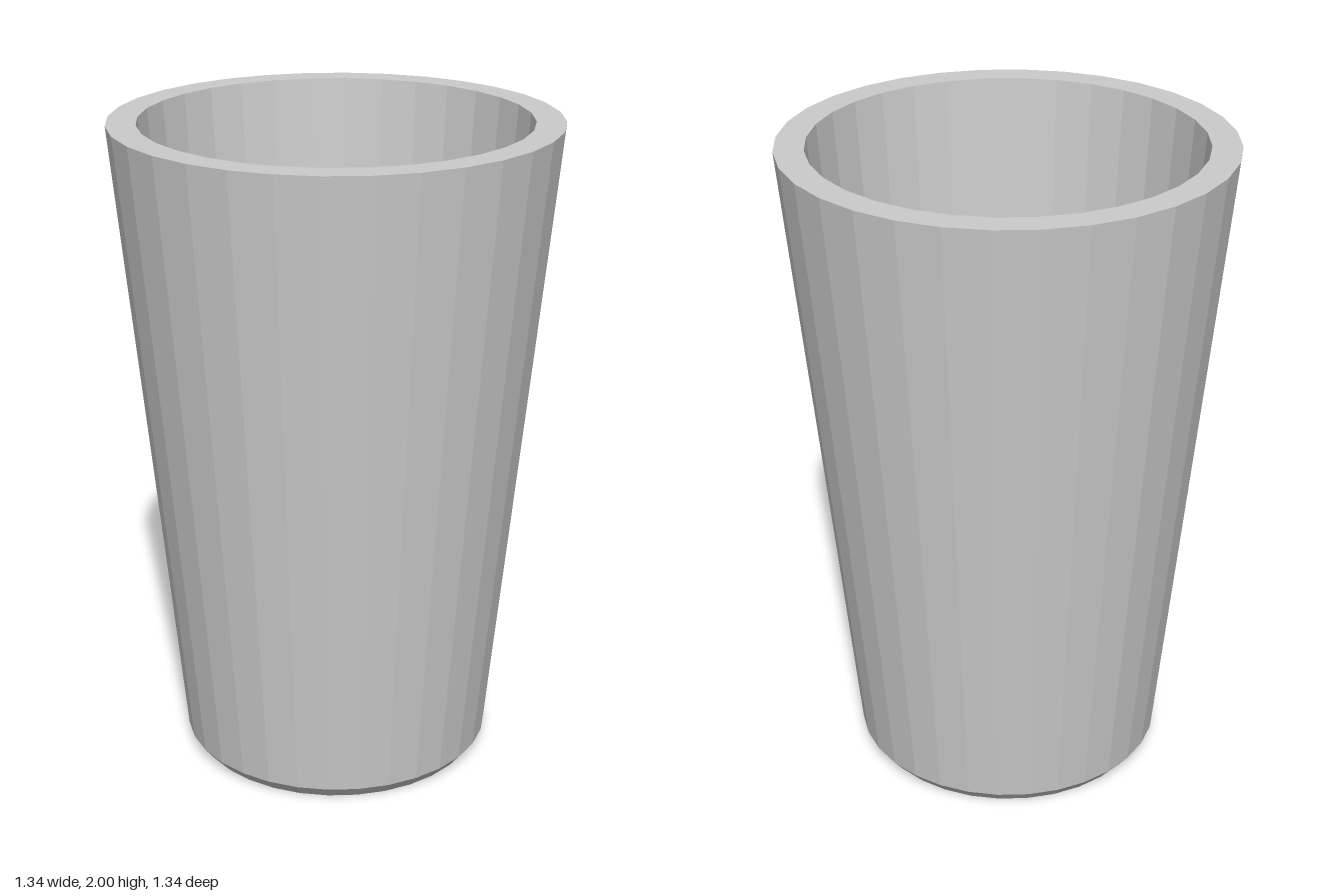
import * as THREE from 'three';

export function createModel() {
  const group = new THREE.Group();
  group.name = 'tumbler';
  const material = new THREE.MeshStandardMaterial({ color: 0xcccccc, flatShading: true });

  // Closed cup profile (radius, height): base, chamfer, outer wall, rim, inner wall, floor
  const profile = [
    [0, 0], [0.447, 0], [0.479, 0.04],
    [0.668, 2], [0.58, 2],
    [0.439, 0.1], [0, 0.1],
  ].map(([r, y]) => new THREE.Vector2(r, y));

  const cup = new THREE.Mesh(new THREE.LatheGeometry(profile, 32), material);
  cup.name = 'cup';
  group.add(cup);
  return group;
}
